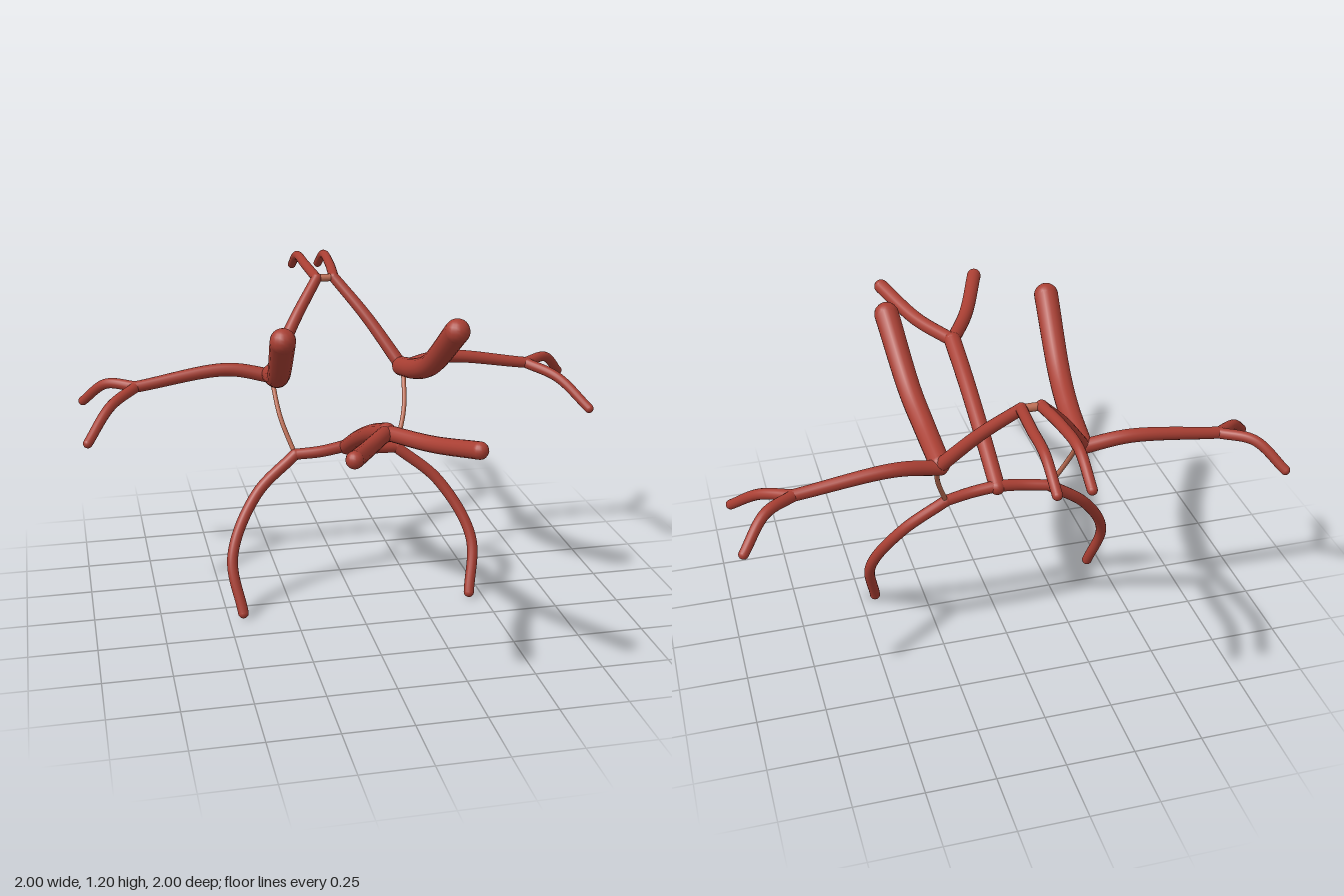
import * as THREE from 'three';

const red = new THREE.MeshStandardMaterial({ color: 0xa93f33 });
red.name = 'artery red';
const pale = new THREE.MeshStandardMaterial({ color: 0xbe6e54 });
pale.name = 'pale red';

// Round-ended vessel through the points, tapering from r0 to r1
function vessel(name, points, r0, r1, material = red) {
  const group = new THREE.Group();
  group.name = name;
  const curve = new THREE.CatmullRomCurve3(points.map((p) => new THREE.Vector3(...p)));
  const rings = 32;
  const sides = 16;
  const geometry = new THREE.TubeGeometry(curve, rings, 1, sides, false);
  const pos = geometry.attributes.position;
  const v = new THREE.Vector3();
  for (let i = 0; i < pos.count; i++) {
    const t = Math.floor(i / (sides + 1)) / rings;
    const centre = curve.getPointAt(t);
    v.fromBufferAttribute(pos, i).sub(centre).multiplyScalar(r0 + (r1 - r0) * t).add(centre);
    pos.setXYZ(i, v.x, v.y, v.z);
  }
  const tube = new THREE.Mesh(geometry, material);
  tube.name = name + 'Tube';
  group.add(tube);
  for (const [t, r] of [[0, r0], [1, r1]]) {
    const cap = new THREE.Mesh(new THREE.SphereGeometry(r, 16, 12), material);
    cap.name = name + 'End';
    cap.position.copy(curve.getPointAt(t));
    group.add(cap);
  }
  return group;
}

export function createModel() {
  const model = new THREE.Group();
  model.name = 'arterialCircle';

  // Midline vessels
  model.add(vessel('basilarArtery',
    [[0, 0.585, -0.11], [0, 0.69, 0.1], [0, 0.795, 0.34], [0, 0.87, 0.55]], 0.03, 0.034));
  model.add(vessel('anteriorConnector', [[-0.035, 1.155, -0.52], [0.035, 1.155, -0.52]], 0.015, 0.015, pale));

  // Paired vessels: name, path on the left side, start and end radius
  const pairs = [
    ['vertebralArtery', [[0, 0.87, 0.55], [0.105, 0.888, 0.74], [0.2, 0.94, 0.97]], 0.027, 0.029],
    ['posteriorRoot', [[0, 0.59, -0.11], [0.1, 0.575, -0.105], [0.2, 0.565, -0.12]], 0.023, 0.021],
    ['posteriorArtery', [[0.2, 0.565, -0.12], [0.36, 0.43, -0.075], [0.47, 0.22, 0.02], [0.445, 0.02, 0.1]], 0.022, 0.02],
    ['posteriorConnector', [[0.262, 0.83, -0.27], [0.245, 0.7, -0.185], [0.2, 0.565, -0.12]], 0.009, 0.009, pale],
    ['carotidArtery', [[0.26, 0.84, -0.29], [0.27, 0.885, -0.1], [0.285, 0.95, 0.06], [0.31, 1.14, 0.31]], 0.038, 0.046],
    ['middleArtery', [[0.26, 0.83, -0.3], [0.43, 0.86, -0.32], [0.78, 0.815, -0.315]], 0.028, 0.022],
    ['middleBackBranch', [[0.78, 0.815, -0.315], [0.89, 0.81, -0.395], [0.98, 0.72, -0.48]], 0.021, 0.018],
    ['middleFrontBranch', [[0.78, 0.815, -0.315], [0.885, 0.775, -0.215], [0.98, 0.675, -0.1]], 0.021, 0.018],
    ['anteriorRoot', [[0.26, 0.84, -0.3], [0.145, 1.015, -0.415], [0.035, 1.155, -0.52]], 0.026, 0.021],
    ['anteriorArtery', [[0.035, 1.155, -0.52], [0.05, 1.173, -0.69], [0.056, 1.177, -0.85], [0.056, 1.11, -0.98]], 0.02, 0.017],
  ];
  for (const [side, s] of [['left', 1], ['right', -1]]) {
    const group = new THREE.Group();
    group.name = side + 'Vessels';
    for (const [name, path, r0, r1, material] of pairs) {
      group.add(vessel(name, path.map(([x, y, z]) => [s * x, y, z]), r0, r1, material));
    }
    model.add(group);
  }
  return model;
}
